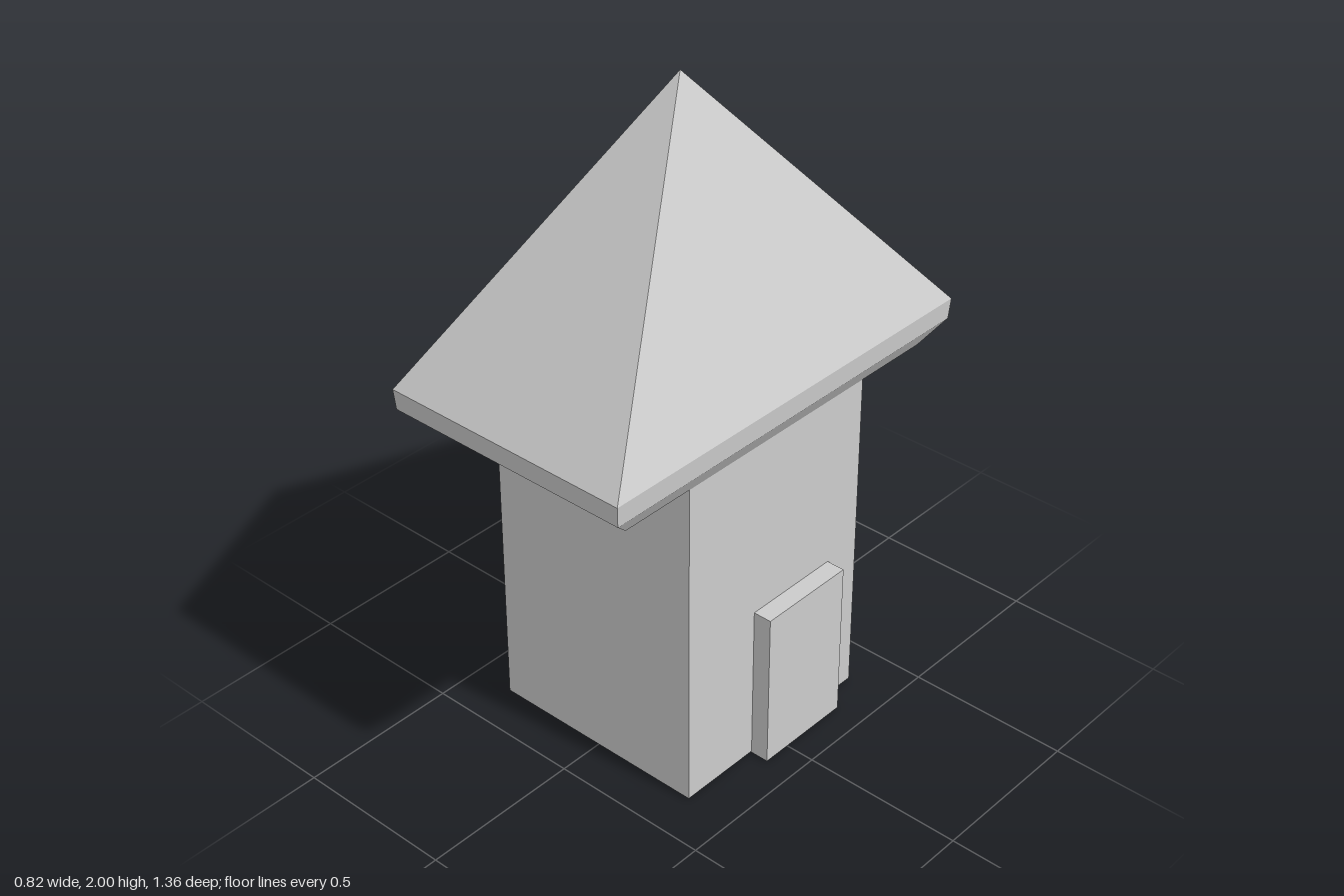
import * as THREE from 'three';

const material = new THREE.MeshStandardMaterial({ color: 0xcccccc, flatShading: true });

// Box given by its lower and upper corners
function box(name, [x0, y0, z0], [x1, y1, z1]) {
  const mesh = new THREE.Mesh(new THREE.BoxGeometry(x1 - x0, y1 - y0, z1 - z0), material);
  mesh.position.set((x0 + x1) / 2, (y0 + y1) / 2, (z0 + z1) / 2);
  mesh.name = name;
  return mesh;
}

// Stack of rectangular rings [y, halfWidth, halfDepth]; a zero-size ring closes an end
function rectangularLoft(rings) {
  const corners = [[-1, 1], [1, 1], [1, -1], [-1, -1]];
  const points = [];
  const at = ([y, w, d], i) => [corners[i % 4][0] * w, y, corners[i % 4][1] * d];
  for (let r = 0; r < rings.length - 1; r++) {
    const low = rings[r], high = rings[r + 1];
    for (let i = 0; i < 4; i++) {
      const a = at(low, i), b = at(low, i + 1), c = at(high, i + 1), d = at(high, i);
      if (low[1] > 0) points.push(...a, ...b, ...c);
      if (high[1] > 0) points.push(...a, ...c, ...d);
    }
  }
  const geometry = new THREE.BufferGeometry();
  geometry.setAttribute('position', new THREE.Float32BufferAttribute(points, 3));
  geometry.computeVertexNormals();
  return geometry;
}

export function createModel() {
  const model = new THREE.Group();
  model.name = 'tower';

  // Square tower walls
  model.add(box('walls', [-0.36, 0.004, -0.355], [0.35, 1.055, 0.36]));

  // Door slab set into the left wall
  model.add(box('door', [0.085, 0, -0.23], [0.408, 0.503, 0.09]));

  // Pyramid roof: flat soffit, sloped underside, shallow eave band, point
  const roof = new THREE.Mesh(rectangularLoft([
    [1.055, 0, 0],
    [1.055, 0.355, 0.6],
    [1.127, 0.401, 0.676],
    [1.19, 0.405, 0.681],
    [2, 0, 0],
  ]), material);
  roof.position.x = -0.005;
  roof.name = 'roof';
  model.add(roof);

  return model;
}
